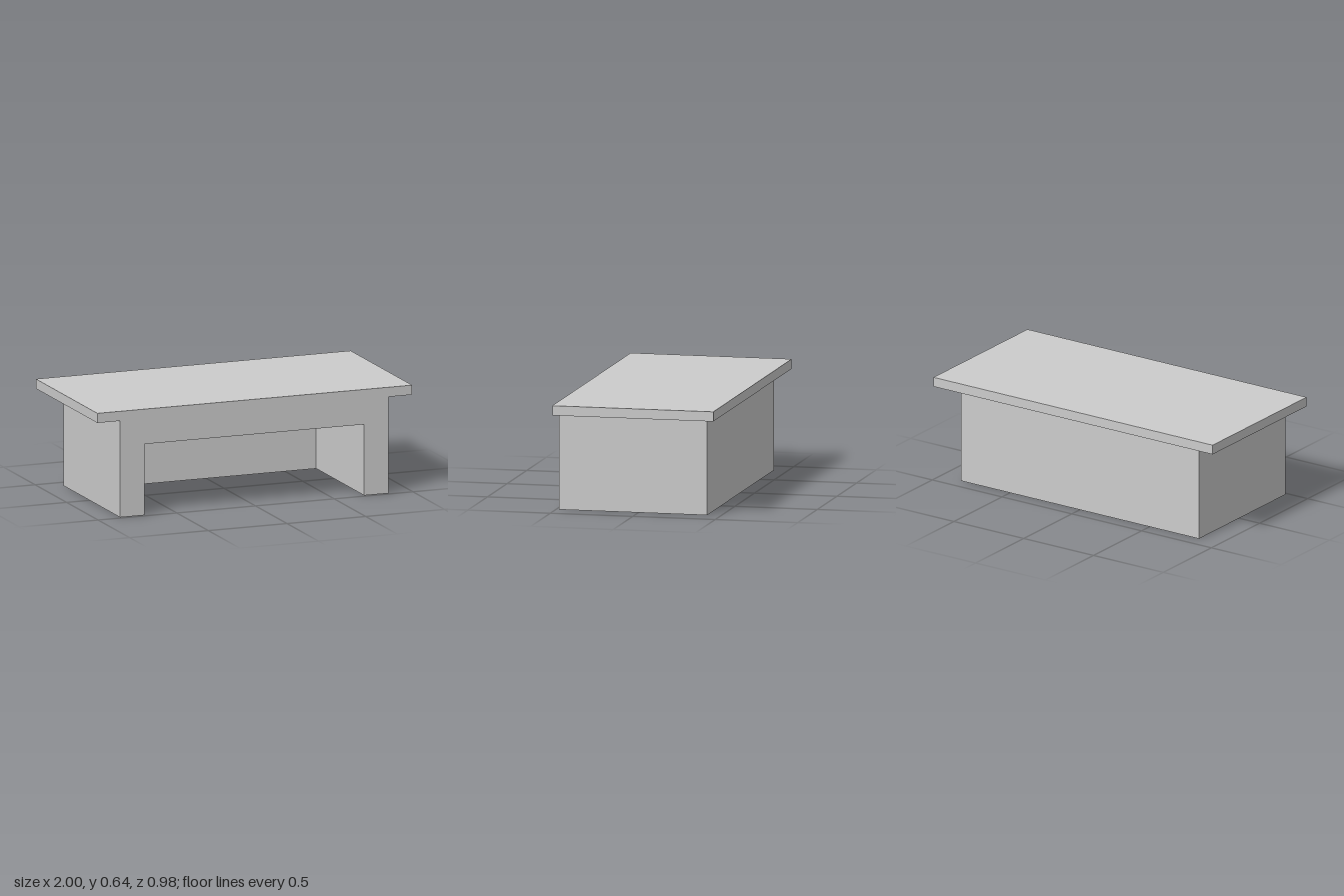
import * as THREE from 'three';

// Desk: an arched pedestal closed at the back, under an overhanging top
export function createModel() {
  const desk = new THREE.Group();
  desk.name = 'desk';
  const material = new THREE.MeshStandardMaterial({ color: 0xcccccc, flatShading: true });

  const halfWidth = 0.853, halfOpening = 0.698;
  const bodyTop = 0.585, openingTop = 0.43, deskTop = 0.643;
  const front = 0.482, back = -0.416, innerBack = -0.28;

  const add = (name, geometry, x, y, z) => {
    const mesh = new THREE.Mesh(geometry, material);
    mesh.name = name;
    mesh.position.set(x, y, z);
    desk.add(mesh);
  };

  // Two legs joined by a deep apron, with the knee space cut out of the front
  const arch = new THREE.Shape([
    [-halfWidth, 0], [-halfOpening, 0], [-halfOpening, openingTop], [halfOpening, openingTop],
    [halfOpening, 0], [halfWidth, 0], [halfWidth, bodyTop], [-halfWidth, bodyTop],
  ].map(([x, y]) => new THREE.Vector2(x, y)));
  add('pedestal', new THREE.ExtrudeGeometry(arch, { depth: front - innerBack, bevelEnabled: false }),
    0, 0, innerBack);

  // Full-height panel closing the knee space
  add('backPanel', new THREE.BoxGeometry(halfWidth * 2, bodyTop, innerBack - back),
    0, bodyTop / 2, (innerBack + back) / 2);

  // Overhanging slab
  add('deskTop', new THREE.BoxGeometry(2, deskTop - bodyTop, 0.976), 0, (deskTop + bodyTop) / 2, 0);

  return desk;
}
